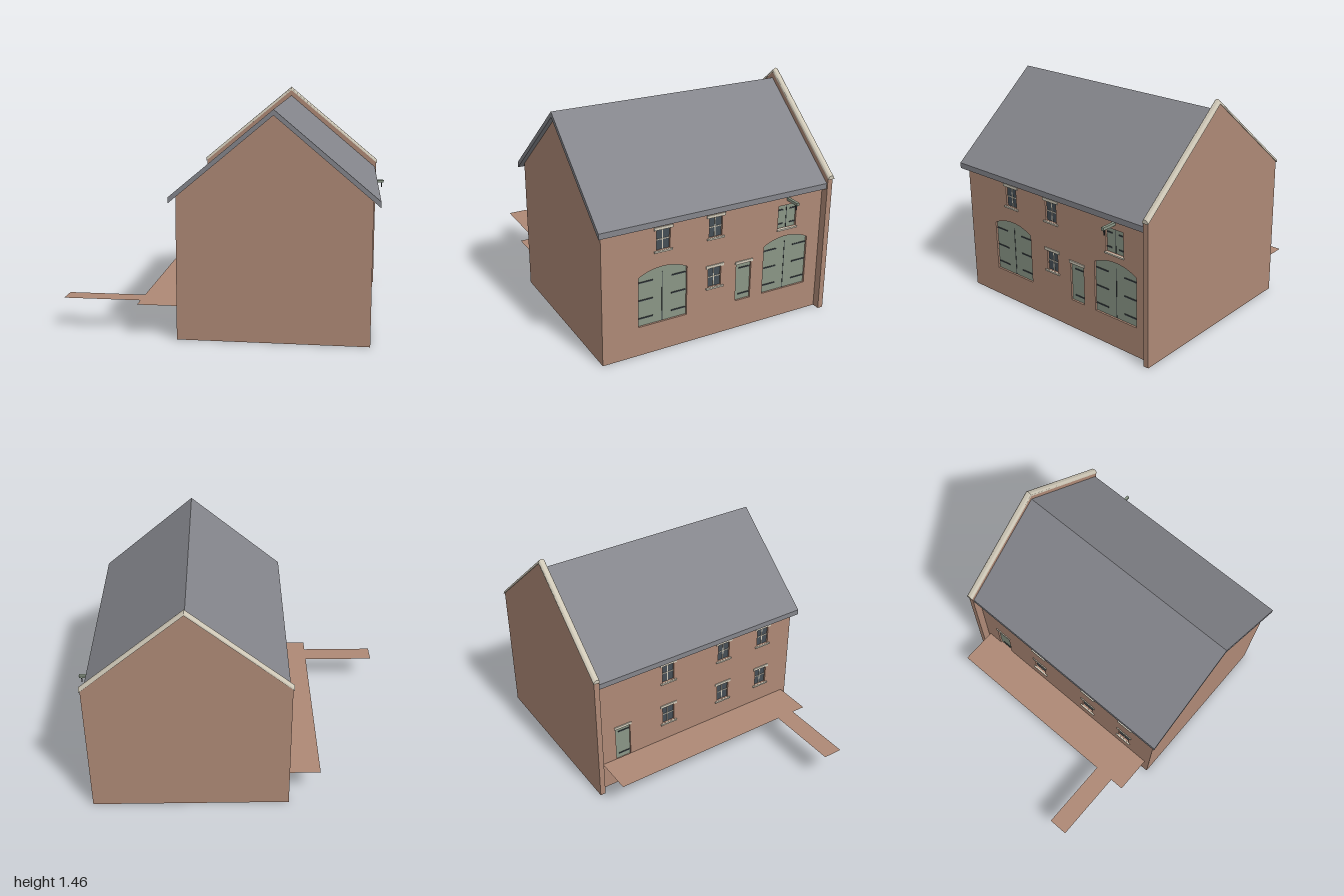
import * as THREE from 'three';
import { toCreasedNormals } from 'three/addons/utils/BufferGeometryUtils.js';

const mat = (name, color, side = THREE.FrontSide) => {
  const m = new THREE.MeshStandardMaterial({ color, side });
  m.name = name;
  return m;
};

export function createModel() {
  const brick = mat('brick', 0xae8976);
  const paving = mat('brick paving', 0xae8976, THREE.DoubleSide);
  const slate = mat('slate', 0x84858b);
  const stone = mat('pale stone', 0xcfc8b7);
  const green = mat('green paint', 0x8a9686);
  const iron = mat('dark iron', 0x3a4044);
  const glass = mat('window glass', 0x454e55);

  const root = new THREE.Group();
  root.name = 'mill';
  const MID = 0.32, T = 0.03, RECESS = -0.012;

  const add = (parent, name, geo, material, x = 0, y = 0, z = 0) => {
    const m = new THREE.Mesh(geo, material);
    m.name = name;
    m.position.set(x, y, z);
    parent.add(m);
    return m;
  };
  const box = (parent, name, material, w, h, d, x, y, z) =>
    add(parent, name, new THREE.BoxGeometry(w, h, d), material, x, y, z);
  const poly = (pts) => new THREE.Shape(pts.map(p => new THREE.Vector2(...p)));
  const extrude = (shape, depth, opts = {}) =>
    new THREE.ExtrudeGeometry(shape, { depth, bevelEnabled: false, curveSegments: 12, ...opts });

  // Opening outline: rectangle, with an optional arched top of the given rise
  const outline = (cx, y0, w, h, rise = 0, Type = THREE.Shape) => {
    const s = new Type();
    s.moveTo(cx - w / 2, y0);
    s.lineTo(cx + w / 2, y0);
    s.lineTo(cx + w / 2, y0 + h - rise);
    if (rise) {
      const r = (w * w / 4 + rise * rise) / (2 * rise);
      const a = Math.asin(w / 2 / r);
      s.absarc(cx, y0 + h - r, r, Math.PI / 2 - a, Math.PI / 2 + a, false);
    } else s.lineTo(cx - w / 2, y0 + h);
    s.closePath();
    return s;
  };

  // Window: glass, glazing bars, lintel and sill
  const addWindow = (wall, u, y0) => {
    const g = new THREE.Group();
    g.name = 'window';
    g.position.set(u, y0, 0);
    wall.add(g);
    box(g, 'pane', glass, 0.09, 0.13, 0.006, 0, 0.065, RECESS - 0.003);
    box(g, 'uprightBar', stone, 0.006, 0.13, 0.012, 0, 0.065, RECESS - 0.003);
    box(g, 'crossBar', stone, 0.09, 0.006, 0.012, 0, 0.065, RECESS - 0.003);
    box(g, 'lintel', stone, 0.125, 0.018, 0.012, 0, 0.14, 0);
    box(g, 'sill', stone, 0.12, 0.01, 0.016, 0, -0.006, 0.002);
  };

  // Door: recessed leaf with strap hinges, optional seam, lintel and sill
  const addDoor = (wall, d) => {
    const g = new THREE.Group();
    g.name = d.name;
    wall.add(g);
    add(g, 'leaf', extrude(outline(d.u, d.y, d.w, d.h, d.rise), 0.01), green, 0, 0, RECESS - 0.01);
    for (const y of d.straps) {
      if (d.double) for (const s of [-1, 1])
        box(g, 'strap', iron, d.w * 0.3, 0.008, 0.004, d.u + s * d.w * 0.34, y, RECESS + 0.002);
      else box(g, 'strap', iron, d.w * 0.72, 0.008, 0.004, d.u + d.w * 0.1, y, RECESS + 0.002);
    }
    if (d.double) box(g, 'seam', iron, 0.004, d.h - 0.04 * (d.rise ? 1 : 0), 0.002, d.u,
      d.y + (d.h - (d.rise ? 0.04 : 0)) / 2, RECESS + 0.001);
    if (d.lintel) box(g, 'lintel', stone, 0.125, 0.018, 0.012, d.u, d.y + d.h + 0.009, 0);
    if (d.sill) box(g, 'sill', stone, 0.145, 0.01, 0.016, d.u, d.y - 0.005, 0.002);
  };

  // Long wall with real openings, its outer face on local z = 0
  const addWall = (name, x, turn, u0, u1, windows, doors) => {
    const wall = new THREE.Group();
    wall.name = name;
    wall.position.x = x;
    wall.rotation.y = turn;
    root.add(wall);
    const s = poly([[u0, 0], [u1, 0], [u1, 0.876], [u0, 0.876]]);
    for (const [u, y] of windows) s.holes.push(outline(u, y, 0.09, 0.13, 0, THREE.Path));
    for (const d of doors) s.holes.push(outline(d.u, d.y, d.w, d.h, d.rise, THREE.Path));
    add(wall, 'masonry', extrude(s, T), brick, 0, 0, -T);
    windows.forEach(w => addWindow(wall, ...w));
    doors.forEach(d => addDoor(wall, d));
  };

  const smallDoor = (u) => ({
    name: 'smallDoor', u, y: 0.193, w: 0.108, h: 0.252, straps: [0.23, 0.41], lintel: true,
  });
  const archDoor = (u) => ({
    name: 'archedDoor', u, y: 0.193, w: 0.325, h: 0.367, rise: 0.042,
    straps: [0.243, 0.362, 0.48], double: true,
  });
  const UP = 0.667, LOW = 0.336;
  addWall('leftWall', 0.9, Math.PI / 2, -0.77, 0.76,
    [[-0.372, UP], [-0.018, UP], [-0.018, LOW]],
    [archDoor(-0.372), archDoor(0.5), smallDoor(0.192),
      { name: 'loftHatch', u: 0.5, y: 0.615, w: 0.134, h: 0.155, straps: [0.645, 0.738], double: true, sill: true }]);
  addWall('rightWall', -0.26, -Math.PI / 2, -0.76, 0.77,
    [-0.23, 0.21, 0.535].flatMap(z => [[z, UP], [z, LOW]]),
    [smallDoor(-0.58)]);

  // Front gable wall
  add(root, 'frontGable', extrude(poly([
    [-0.26, 0], [0.9, 0], [0.9, 0.878], [MID, 1.366], [-0.26, 0.878]]), T), brick, 0, 0, 0.77 - T);

  // Slate roof
  const roofHalf = 0.622;
  add(root, 'roof', extrude(poly([
    [MID - roofHalf, 0.84], [MID, 1.363], [MID + roofHalf, 0.84],
    [MID + roofHalf, 0.876], [MID, 1.398], [MID - roofHalf, 0.876]]), 1.56), slate, 0, 0, -0.76);

  // Raised back gable
  add(root, 'backGable', extrude(poly([
    [-0.31, 0], [0.95, 0], [0.95, 0.914], [MID, 1.44], [-0.31, 0.914]]), 0.036), brick, 0, 0, -0.793);

  // Half-round coping, extruded straight and then bent down on both sides of the ridge
  const half = new THREE.Shape();
  half.absellipse(0, 0, 0.022, 0.024, 0, Math.PI, false);
  half.closePath();
  const coping = extrude(half, 1.276, { steps: 2 });
  coping.translate(0, 0, -0.638);
  coping.rotateY(Math.PI / 2);
  const p = coping.attributes.position;
  for (let i = 0; i < p.count; i++) p.setY(i, p.getY(i) - 0.835 * Math.abs(p.getX(i)));
  add(root, 'coping', toCreasedNormals(coping, 0.6), stone, MID, 1.437, -0.777);

  // Hoist beam and hook above the hatch
  box(root, 'hoistBeam', green, 0.11, 0.018, 0.018, 0.945, 0.808, -0.5);
  box(root, 'hoistHook', iron, 0.005, 0.034, 0.008, 0.985, 0.783, -0.5);

  // Raised terrace and approach path
  const flat = (name, x0, x1, z0, z1) => {
    const g = new THREE.PlaneGeometry(x1 - x0, z1 - z0).rotateX(-Math.PI / 2);
    add(root, name, g, paving, (x0 + x1) / 2, 0.2, (z0 + z1) / 2);
  };
  flat('terrace', -0.512, -0.26, -0.737, 0.737);
  flat('path', -1, -0.512, 0.512, 0.643);

  return root;
}
